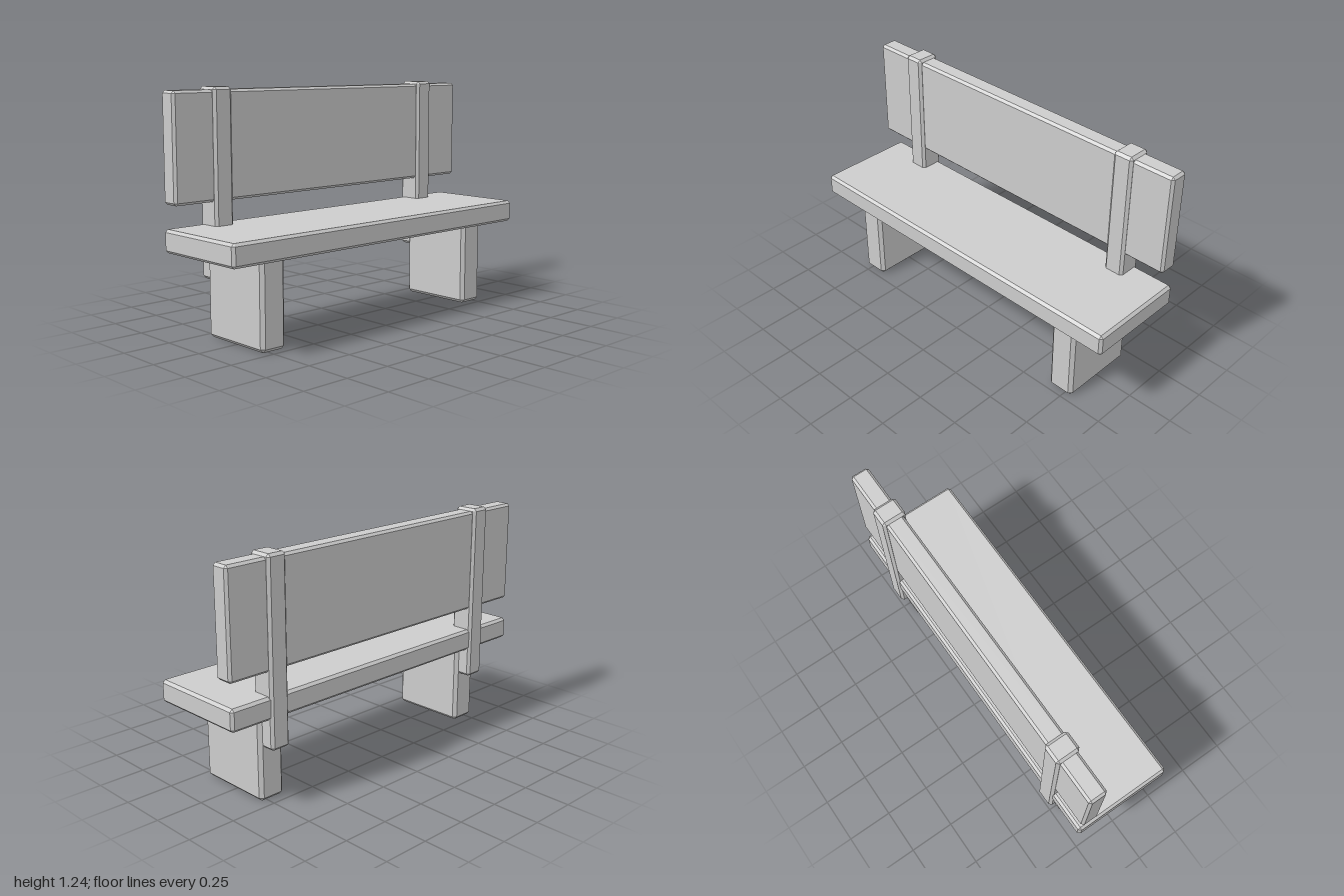
import * as THREE from 'three';
import { ConvexGeometry } from 'three/addons/geometries/ConvexGeometry.js';

// Box between two corners with every edge cut by a flat chamfer c
function chamferBox([x0, y0, z0], [x1, y1, z1], c) {
  const half = [(x1 - x0) / 2, (y1 - y0) / 2, (z1 - z0) / 2];
  const points = [];
  for (const sx of [-1, 1]) for (const sy of [-1, 1]) for (const sz of [-1, 1]) {
    for (let face = 0; face < 3; face++) {
      // each corner becomes three points, one on each adjoining face
      const [x, y, z] = half.map((h, axis) => (axis === face ? h : h - c));
      points.push(new THREE.Vector3(sx * x, sy * y, sz * z));
    }
  }
  return new ConvexGeometry(points).translate((x0 + x1) / 2, (y0 + y1) / 2, (z0 + z1) / 2);
}

export function createModel() {
  const bench = new THREE.Group();
  bench.name = 'bench';
  const grey = new THREE.MeshStandardMaterial({ color: 0xcccccc, flatShading: true });
  grey.name = 'light grey';

  const add = (name, min, max, c) => {
    const mesh = new THREE.Mesh(chamferBox(min, max, c), grey);
    mesh.name = name;
    bench.add(mesh);
  };

  // Long planks
  add('seat', [-1, 0.443, -0.27], [1, 0.56, 0.28], 0.014);
  add('backrest', [-1, 0.68, -0.265], [1, 1.226, -0.165], 0.013);

  // Slab legs and back posts, mirrored left and right
  for (const [side, x] of [['left', 0.72], ['right', -0.72]]) {
    add(side + 'Leg', [x - 0.073, 0, -0.207], [x + 0.073, 0.47, 0.22], 0.018);
    add(side + 'BackPost', [x - 0.055, 0.285, -0.28], [x + 0.055, 1.24, -0.15], 0.014);
  }
  return bench;
}
